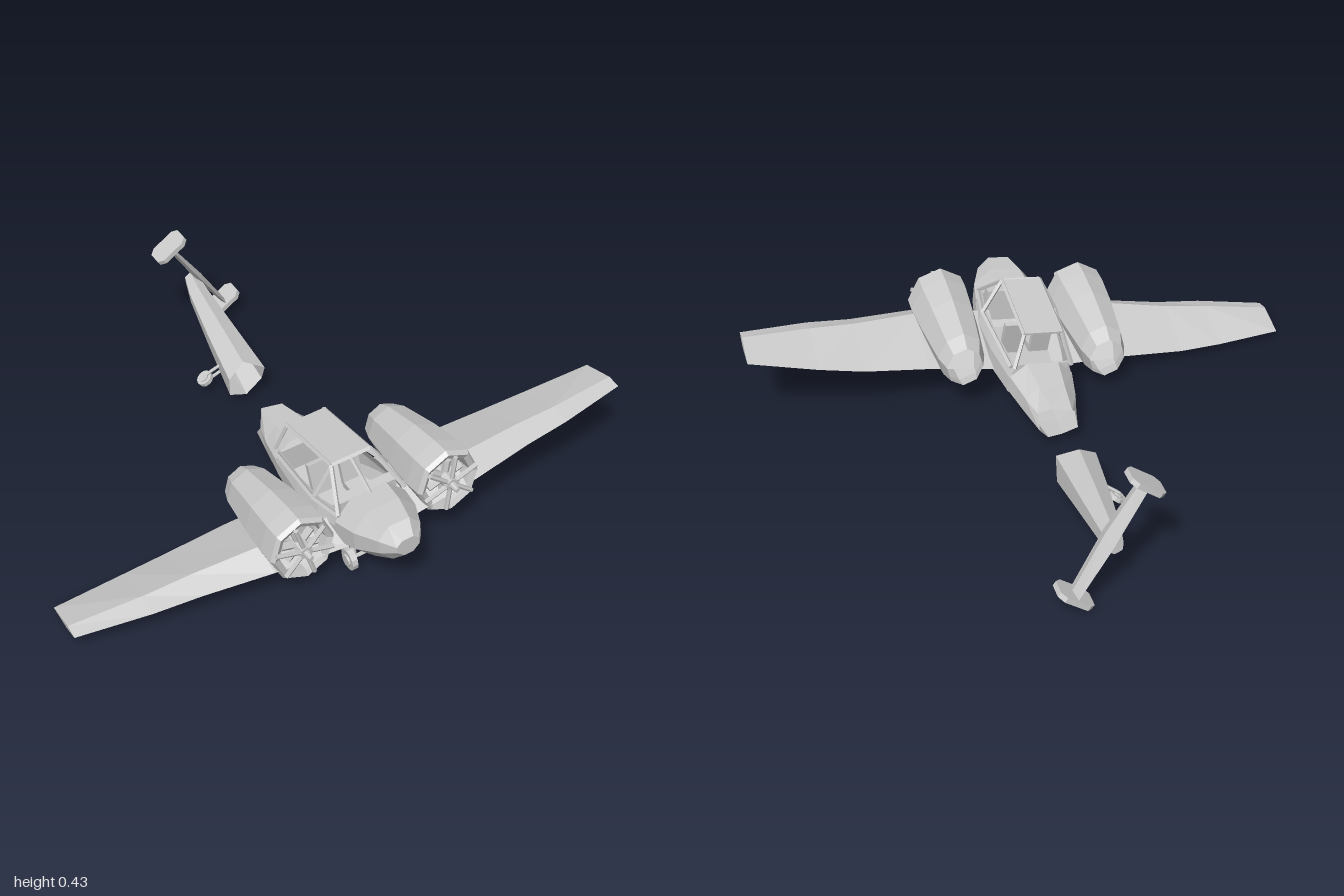
import * as THREE from 'three';

const mat = new THREE.MeshStandardMaterial({ color: 0xcccccc, flatShading: true, side: THREE.DoubleSide });

function add(parent, geo, name, pos = [0, 0, 0], rot = [0, 0, 0]) {
  const m = new THREE.Mesh(geo, mat);
  m.name = name;
  m.position.set(...pos);
  m.rotation.set(...rot);
  parent.add(m);
  return m;
}

// Skin through a list of cross-sections, each a list of [x, y, z]
function loft(sections, { closed = true, capStart = false, capEnd = false } = {}) {
  const v = [];
  const n = sections[0].length;
  for (let i = 0; i < sections.length - 1; i++) {
    for (let j = 0; j < (closed ? n : n - 1); j++) {
      const k = (j + 1) % n;
      const a = sections[i][j], b = sections[i][k], c = sections[i + 1][k], d = sections[i + 1][j];
      v.push(...a, ...b, ...c, ...a, ...c, ...d);
    }
  }
  const cap = (s, flip) => {
    for (let j = 1; j < n - 1; j++) v.push(...s[0], ...s[flip ? j + 1 : j], ...s[flip ? j : j + 1]);
  };
  if (capStart) cap(sections[0], true);
  if (capEnd) cap(sections[sections.length - 1], false);
  const g = new THREE.BufferGeometry();
  g.setAttribute('position', new THREE.Float32BufferAttribute(v, 3));
  g.computeVertexNormals();
  return g;
}

// Eight-sided hull section, starting at the upper left and running over the keel last;
// as an open strip it leaves out the top
const HULL = [[-0.5, 1], [-1, 0.4], [-1, -0.3], [-0.4, -1], [0.4, -1], [1, -0.3], [1, 0.4], [0.5, 1]];
const JAG = [-0.03, 0.02, -0.015, 0.015, 0.0, -0.02, 0.02, -0.01];
function hull(z, w, y0, y1, jag = 0, cx = 0) {
  return HULL.map(([x, y], i) => [cx + x * w, (y0 + y1) / 2 + y * (y1 - y0) / 2, z + JAG[i] * jag]);
}

function rod(parent, a, b, r, name, sides = 6) {
  const p = new THREE.Vector3(...a), q = new THREE.Vector3(...b);
  const m = add(parent, new THREE.CylinderGeometry(r, r, p.distanceTo(q), sides), name);
  m.position.copy(p).add(q).multiplyScalar(0.5);
  m.quaternion.setFromUnitVectors(new THREE.Vector3(0, 1, 0), q.sub(p).normalize());
  return m;
}

function wheel(parent, pos, r, w) {
  add(parent, new THREE.CylinderGeometry(r, r, w * 0.6, 12), 'wheel', pos, [0, 0, Math.PI / 2]);
  add(parent, new THREE.CylinderGeometry(r * 0.6, r * 0.6, w, 10), 'wheelHub', pos, [0, 0, Math.PI / 2]);
}

function buildSide() {
  const side = new THREE.Group();

  // Wing: leading edge, crest, trailing edge, belly at each station
  const stations = [
    [0.09, 0.70, 0.35, 0.14, 0.20, 0.10, 0.085],
    [0.37, 0.69, 0.36, 0.165, 0.205, 0.115, 0.11],
    [0.60, 0.65, 0.37, 0.165, 0.192, 0.115, 0.112],
    [0.76, 0.635, 0.385, 0.17, 0.187, 0.125, 0.125],
    [1.003, 0.59, 0.415, 0.172, 0.18, 0.148, 0.152],
  ];
  add(side, loft(stations.map(([x, le, te, yl, yc, yt, yb]) => [
    [x, yl, le], [x, yc, le - (le - te) * 0.28], [x, yt, te], [x, yb, le - (le - te) * 0.4],
  ]), { capEnd: true }), 'wing');

  // Engine nacelle: outside skin, lip, then the inside of the cowl
  const ring = (z, rx, ry, y) => Array.from({ length: 8 }, (_, i) => {
    const a = Math.PI / 2 + i * Math.PI / 4;
    return [0.265 + rx * Math.cos(a), y + ry * Math.sin(a), z];
  });
  add(side, loft([
    ring(0.275, 0.066, 0.075, 0.168), ring(0.33, 0.084, 0.095, 0.176), ring(0.50, 0.104, 0.118, 0.196),
    ring(0.62, 0.113, 0.125, 0.208), ring(0.685, 0.112, 0.124, 0.213), ring(0.70, 0.103, 0.114, 0.213),
    ring(0.69, 0.085, 0.094, 0.213), ring(0.62, 0.08, 0.088, 0.21),
  ], { capEnd: true }), 'nacelle');

  // Radial engine and spokes in front of the cowl
  const c = [0.265, 0.213];
  for (let i = 0; i < 6; i++) {
    const a = 0.3 + i * Math.PI / 3;
    const at = (r, z) => [c[0] + r * Math.cos(a), c[1] + r * Math.sin(a), z];
    rod(side, at(0.012, 0.705), at(0.102, 0.705), 0.008, 'engineSpoke');
    rod(side, at(0.015, 0.665), at(0.065, 0.665), 0.013, 'engineCylinder');
  }
  add(side, new THREE.CylinderGeometry(0.022, 0.028, 0.09, 8), 'engineHub', [...c, 0.67], [Math.PI / 2, 0, 0]);
  add(side, new THREE.CylinderGeometry(0.008, 0.014, 0.04, 8), 'propellerShaft', [...c, 0.725], [Math.PI / 2, 0, 0]);

  // Canopy frame
  const bars = [
    [[0.12, 0.25, 0.665], [0.07, 0.352, 0.55]],
    [[0.138, 0.235, 0.53], [0.07, 0.352, 0.55]],
    [[0.07, 0.352, 0.55], [0.07, 0.302, 0.25]],
    [[0.07, 0.302, 0.25], [0.105, 0.19, 0.21]],
    [[0.12, 0.25, 0.665], [0.138, 0.235, 0.53]],
    [[0.138, 0.235, 0.53], [0.112, 0.185, 0.23]],
  ];
  bars.forEach(([a, b]) => rod(side, a, b, 0.008, 'canopyFrame', 4));

  // Main wheel and strut
  wheel(side, [0.1, 0.055, 0.67], 0.038, 0.032);
  rod(side, [0.085, 0.055, 0.67], [0.07, 0.14, 0.64], 0.009, 'gearStrut');

  // Seat
  add(side, new THREE.BoxGeometry(0.07, 0.025, 0.08), 'seat', [0.055, 0.13, 0.47]);
  add(side, new THREE.BoxGeometry(0.07, 0.13, 0.02), 'seatBack', [0.055, 0.19, 0.42], [-0.2, 0, 0]);
  return side;
}

function buildFront() {
  const front = new THREE.Group();
  front.name = 'frontSection';

  // Nose, open cockpit tub and broken rear fuselage
  const noseBack = hull(0.65, 0.128, 0.06, 0.285);
  add(front, loft([noseBack, hull(0.74, 0.112, 0.095, 0.292), hull(0.83, 0.075, 0.15, 0.292),
    hull(0.88, 0.04, 0.2, 0.262)], { capEnd: true }), 'nose');
  const aft = hull(0.22, 0.115, 0.035, 0.2);
  const sill = (z, w, y0, y1) => hull(z, w, y0, y1).map((p, i) => (i === 0 || i === 7 ? [p[0] * 1.7, p[1], z] : p));
  add(front, loft([sill(0.22, 0.115, 0.035, 0.19), sill(0.4, 0.137, 0.033, 0.215),
    sill(0.55, 0.143, 0.045, 0.24), sill(0.65, 0.128, 0.06, 0.26)], { closed: false }), 'cockpitTub');
  add(front, loft([hull(0, 0.07, 0.035, 0.16, 1), hull(0.1, 0.092, 0.032, 0.178), aft]), 'rearFuselage');

  // Cockpit interior
  add(front, new THREE.BoxGeometry(0.23, 0.01, 0.42), 'cockpitFloor', [0, 0.09, 0.44]);
  add(front, new THREE.BoxGeometry(0.2, 0.12, 0.04), 'instrumentPanel', [0, 0.215, 0.625]);
  add(front, new THREE.BoxGeometry(0.2, 0.1, 0.01), 'rearBulkhead', [0, 0.14, 0.235]);

  // Roof panel and windscreen centre bar
  add(front, new THREE.BoxGeometry(0.14, 0.008, 0.305), 'canopyRoof', [0, 0.328, 0.4], [-0.165, 0, 0]);
  rod(front, [0, 0.285, 0.66], [0, 0.352, 0.55], 0.006, 'windscreenBar', 4);
  rod(front, [-0.07, 0.352, 0.55], [0.07, 0.352, 0.55], 0.008, 'canopyFrame', 4);
  rod(front, [-0.1, 0.055, 0.67], [0.1, 0.055, 0.67], 0.007, 'axle');

  // Mirrored wings, engines, frame and gear
  for (const s of [1, -1]) {
    const side = buildSide();
    side.name = s > 0 ? 'leftSide' : 'rightSide';
    side.scale.x = s;
    front.add(side);
  }
  front.rotation.set(0, 0.017, 0.122);
  front.position.x = 0.005;
  return front;
}

function buildTail() {
  const tail = new THREE.Group();
  tail.name = 'tailSection';

  // Broken boom, turned on its side
  const boom = (z, r, cx, cy, jag = 0) => Array.from({ length: 6 }, (_, i) => {
    const a = -0.95 + Math.PI / 6 + i * Math.PI / 3;
    return [cx + r * Math.cos(a), cy + r * 0.95 * Math.sin(a), z + JAG[i] * jag];
  });
  add(tail, loft([boom(-0.82, 0.028, 0.055, 0.2), boom(-0.73, 0.04, 0.043, 0.18),
    boom(-0.5, 0.061, 0.026, 0.14), boom(-0.265, 0.08, 0.01, 0.1, 0.8)], { capStart: true }), 'tailBoom');

  // Stabiliser with an end fin on each tip
  const plane = new THREE.Group();
  plane.name = 'tailplane';
  plane.position.set(0.07, 0.222, -0.803);
  plane.rotation.z = -0.95;
  const foil = (x, z, c, t) => [[x, 0, z + c / 2], [x, t, z + c * 0.1], [x, 0, z - c / 2], [x, -t, z + c * 0.1]];
  add(plane, loft([foil(-0.205, 0.03, 0.075, 0.008), foil(0, 0.004, 0.1, 0.014), foil(0.205, -0.03, 0.075, 0.008)],
    { capStart: true, capEnd: true }), 'stabiliser');
  const fin = new THREE.Shape([[-0.046, -0.045], [-0.028, -0.066], [0.028, -0.066], [0.046, -0.045],
    [0.046, 0.045], [0.028, 0.066], [-0.028, 0.066], [-0.046, 0.045]].map(p => new THREE.Vector2(...p)));
  const finGeo = new THREE.ExtrudeGeometry(fin, { depth: 0.018, bevelEnabled: false });
  finGeo.translate(0, 0, -0.009);
  for (const s of [-1, 1]) add(plane, finGeo, 'endFin', [s * 0.207, 0, -s * 0.03], [0, Math.PI / 2, 0]);
  tail.add(plane);

  // Tail wheel on its strut
  const gear = new THREE.Group();
  gear.name = 'tailGear';
  gear.position.set(-0.09, 0.052, -0.4);
  gear.rotation.z = -0.95;
  wheel(gear, [0, 0, 0], 0.03, 0.026);
  for (const s of [-1, 1]) rod(gear, [s * 0.014, 0, 0], [s * 0.012, 0.09, 0.02], 0.006, 'tailStrut');
  tail.add(gear);
  return tail;
}

export function createModel() {
  const model = new THREE.Group();
  model.name = 'wreckedTwinEngineAircraft';
  model.add(buildFront(), buildTail());
  return model;
}
